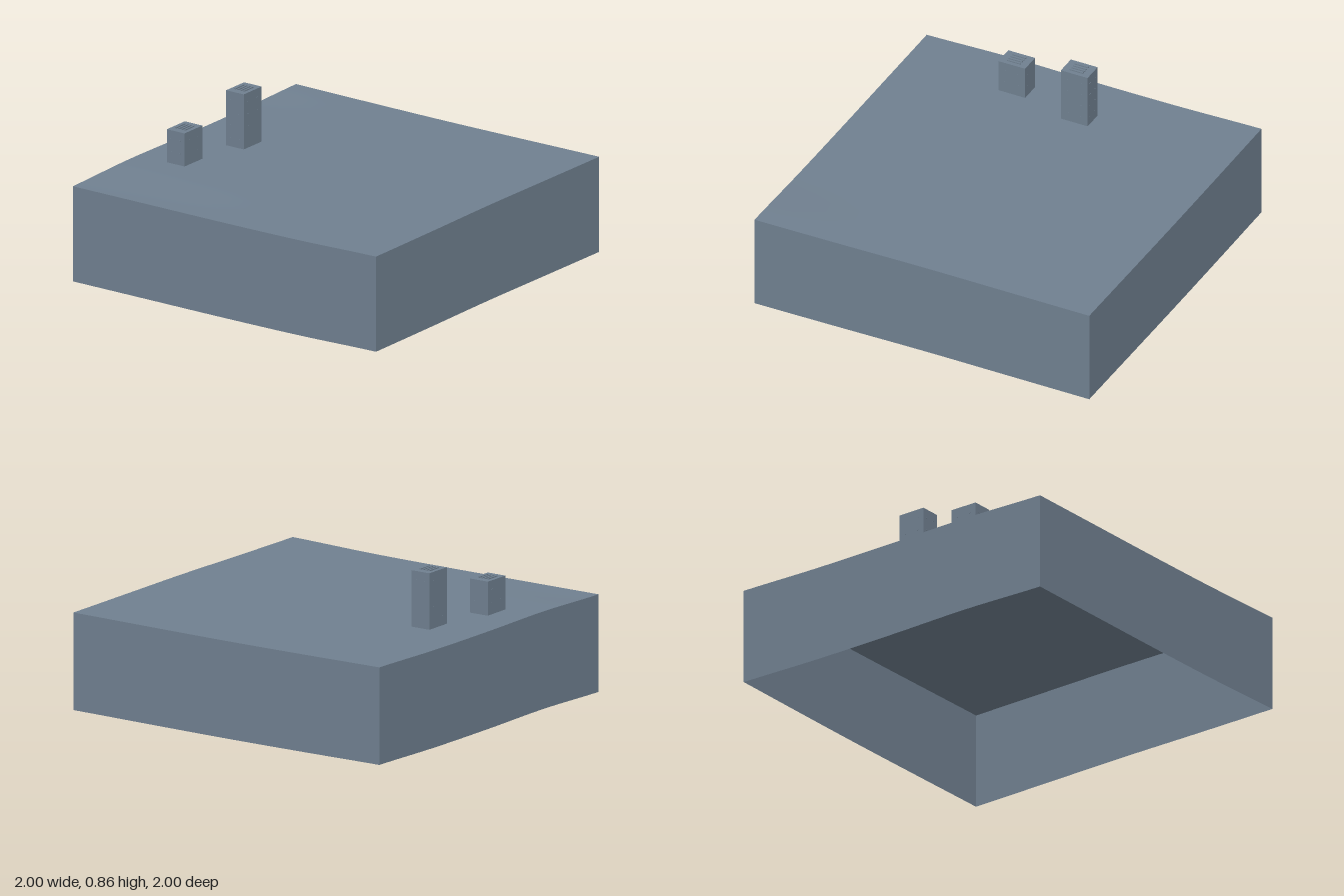
import * as THREE from 'three';

const slate = new THREE.MeshStandardMaterial({ color: 0x708090, side: THREE.DoubleSide });
slate.name = 'slate';

const N = 24;
const DEPTH = 0.535;

// Ground heights: rows run back (z = -1) to front (z = 1), columns x = -1 to 1
const HEIGHTS = [
  [0.555, 0.552, 0.551, 0.554, 0.558],
  [0.546, 0.547, 0.549, 0.555, 0.56],
  [0.546, 0.547, 0.549, 0.556, 0.562],
  [0.551, 0.549, 0.547, 0.55, 0.558],
  [0.54, 0.54, 0.54, 0.544, 0.556],
];

// Smooth curve through five evenly spaced values
function blend(values, t) {
  const u = THREE.MathUtils.clamp((t + 1) * 2, 0, 4);
  const i = Math.min(3, Math.floor(u));
  const f = u - i;
  const [a, b, c, d] = [-1, 0, 1, 2].map((k) => values[THREE.MathUtils.clamp(i + k, 0, 4)]);
  return b + 0.5 * f * (c - a + f * (2 * a - 5 * b + 4 * c - d + f * (3 * (b - c) + d - a)));
}

const groundHeight = (x, z) => blend(HEIGHTS.map((row) => blend(row, x)), z);

function addMesh(parent, name, geometry, x = 0, y = 0, z = 0) {
  const mesh = new THREE.Mesh(geometry, slate);
  mesh.name = name;
  mesh.position.set(x, y, z);
  parent.add(mesh);
  return mesh;
}

// Gently rolling ground sheet
function groundGeometry() {
  const geo = new THREE.PlaneGeometry(2, 2, N, N).rotateX(-Math.PI / 2);
  const p = geo.attributes.position;
  for (let i = 0; i < p.count; i++) p.setY(i, groundHeight(p.getX(i), p.getZ(i)));
  geo.computeVertexNormals();
  return geo;
}

// Side wall hanging a constant depth below the ground's edge
function skirtGeometry(angle) {
  const geo = new THREE.PlaneGeometry(2, 2, N, 1).translate(0, 0, 1).rotateY(angle);
  const p = geo.attributes.position;
  for (let i = 0; i < p.count; i++) {
    const drop = p.getY(i) < 0 ? DEPTH : 0;
    p.setY(i, groundHeight(p.getX(i), p.getZ(i)) - drop);
  }
  return geo;
}

// Block tower with tiny window sills and four roof slats
function tower(name, x, z, top, joint) {
  const g = new THREE.Group();
  g.name = name;
  g.position.set(x, 0, z);
  const w = 0.116, d = 0.16, base = 0.54;

  const levels = joint ? [base, joint, top] : [base, top];
  for (let i = 0; i + 1 < levels.length; i++) {
    const h = levels[i + 1] - levels[i];
    addMesh(g, 'towerBlock', new THREE.BoxGeometry(w, h, d), 0, levels[i] + h / 2, 0);
  }

  for (let i = 0; i < 4; i++) {
    addMesh(g, 'roofSlat', new THREE.BoxGeometry(0.01, 0.006, 0.08), (i - 1.5) * 0.02, top + 0.003, 0);
  }

  for (let y = top - 0.05; y > 0.58; y -= 0.07) {
    for (const side of [-1, 1]) {
      for (const k of [-1, 1]) {
        addMesh(g, 'windowSill', new THREE.BoxGeometry(0.012, 0.004, 0.002), k * 0.028, y, side * d / 2);
        addMesh(g, 'windowSill', new THREE.BoxGeometry(0.002, 0.004, 0.012), side * w / 2, y, k * 0.04);
      }
    }
  }
  return g;
}

export function createModel() {
  const model = new THREE.Group();
  model.name = 'terrainBlock';

  addMesh(model, 'ground', groundGeometry());
  ['frontSkirt', 'leftSkirt', 'backSkirt', 'rightSkirt'].forEach((name, i) => {
    addMesh(model, name, skirtGeometry((i * Math.PI) / 2));
  });

  model.add(tower('tallTower', -0.668, -0.082, 0.856, 0.622));
  model.add(tower('shortTower', -0.752, 0.335, 0.736));

  // Rest the lowest edge on the floor
  model.position.y = -new THREE.Box3().setFromObject(model).min.y;
  return model;
}
